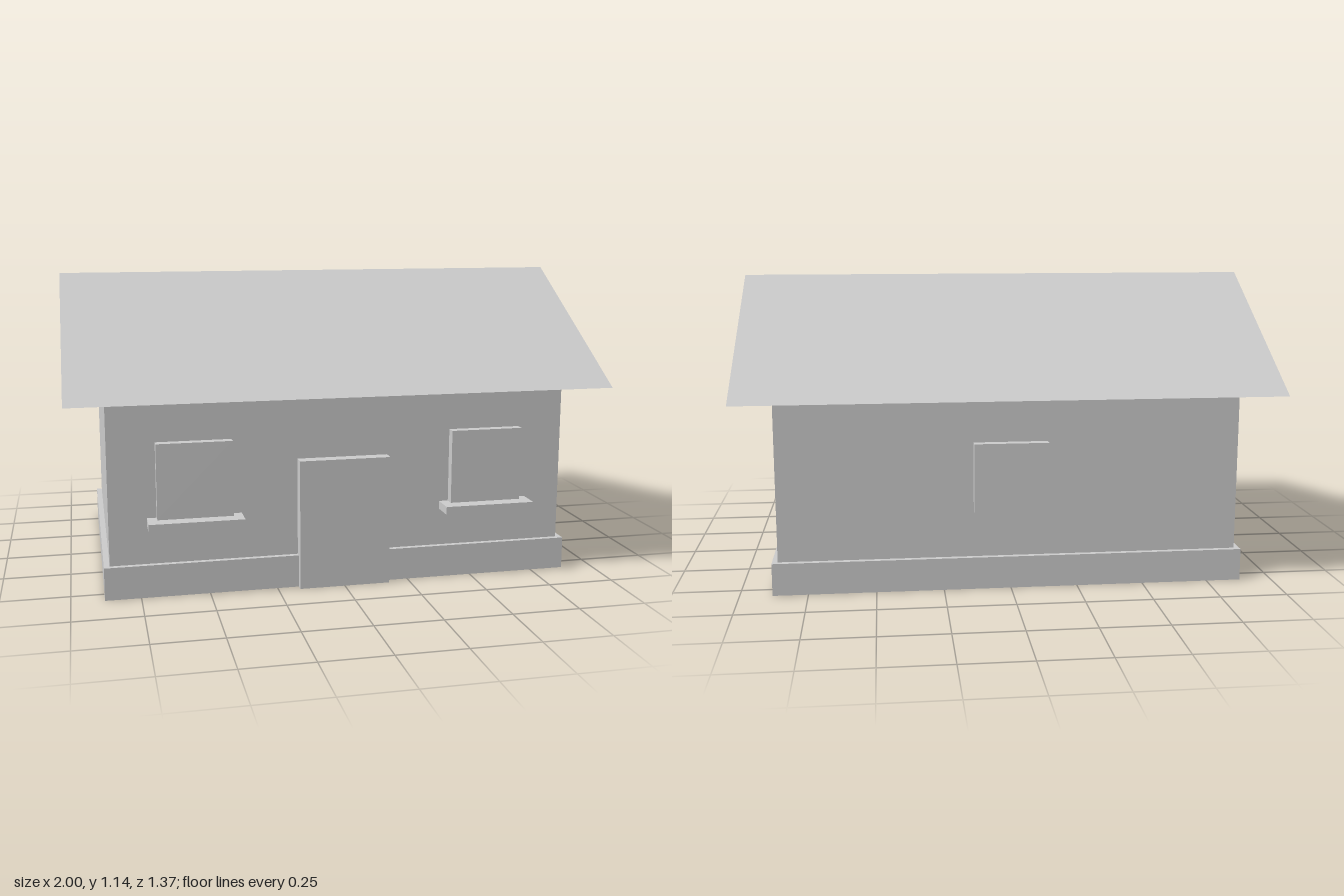
import * as THREE from 'three';

export function createModel() {
  const house = new THREE.Group();
  house.name = 'house';
  const plaster = new THREE.MeshStandardMaterial({ color: 0xcccccc });
  plaster.name = 'light grey';

  // Box given by its x centre, width and its y and z extents
  function addBox(name, x, width, y0, y1, z0, z1) {
    const mesh = new THREE.Mesh(new THREE.BoxGeometry(width, y1 - y0, z1 - z0), plaster);
    mesh.position.set(x, (y0 + y1) / 2, (z0 + z1) / 2);
    mesh.name = name;
    house.add(mesh);
  }

  // Foundation and walls
  addBox('foundation', 0, 1.76, 0, 0.121, -0.57, 0.57);
  addBox('walls', 0, 1.718, 0.121, 0.728, -0.55, 0.55);

  // Gabled roof: triangular section extruded along the ridge
  const gable = new THREE.Shape([
    new THREE.Vector2(-0.687, 0.728),
    new THREE.Vector2(0.687, 0.728),
    new THREE.Vector2(0, 1.138),
  ]);
  const roofGeometry = new THREE.ExtrudeGeometry(gable, { depth: 2, bevelEnabled: false });
  roofGeometry.translate(0, 0, -1).rotateY(Math.PI / 2);
  const roof = new THREE.Mesh(roofGeometry, plaster);
  roof.name = 'roof';
  house.add(roof);

  // Door
  addBox('door', 0, 0.34, 0, 0.484, 0.54, 0.597);

  // Front windows with sills
  for (const [side, x] of [['left', 0.55], ['right', -0.55]]) {
    addBox(side + 'Window', x, 0.275, 0.292, 0.569, 0.54, 0.585);
    addBox(side + 'WindowSill', x, 0.344, 0.262, 0.292, 0.54, 0.638);
  }

  // Back window
  addBox('backWindow', 0, 0.275, 0.295, 0.554, -0.584, -0.54);

  return house;
}
